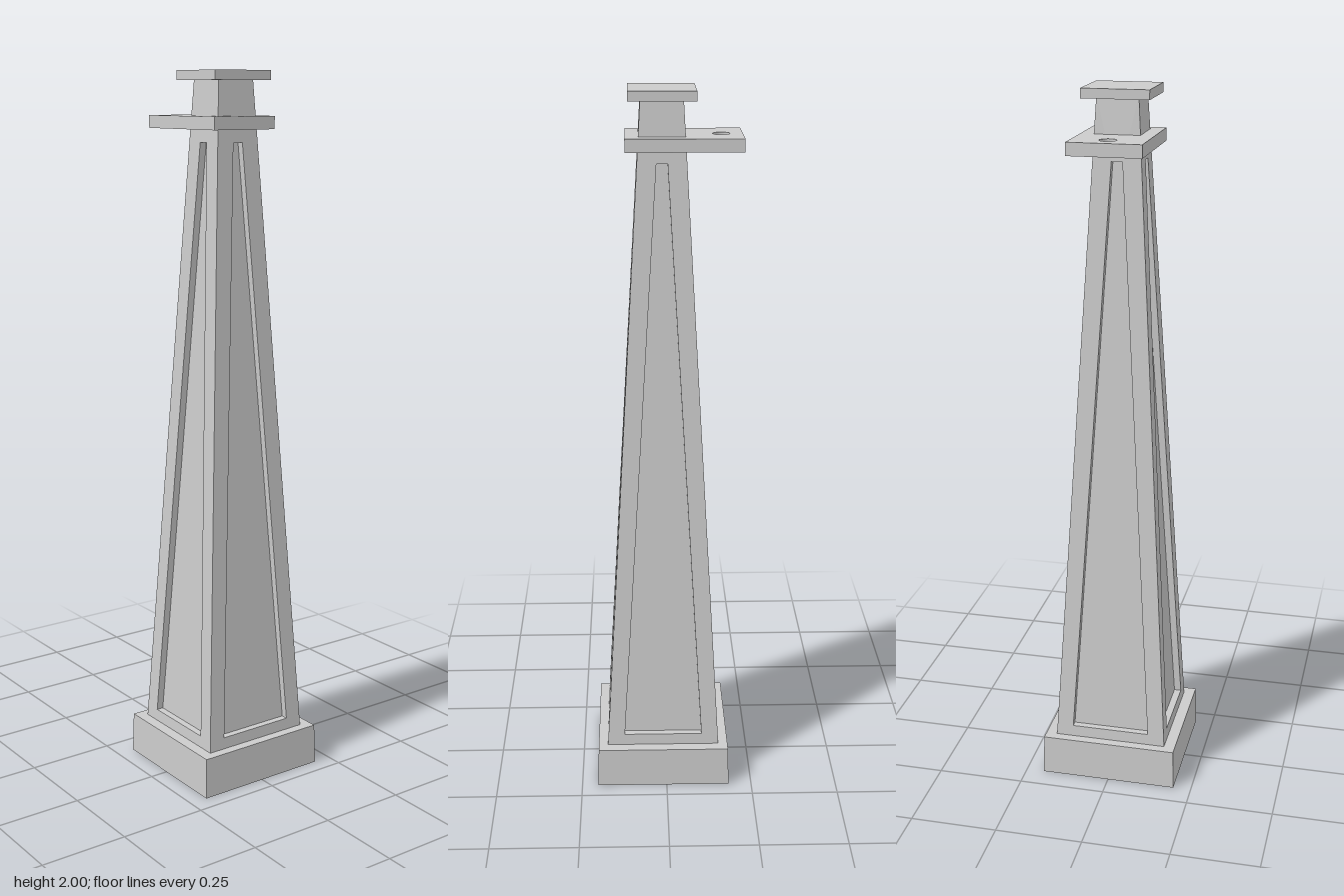
import * as THREE from 'three';

const material = new THREE.MeshStandardMaterial({ color: 0xcccccc, flatShading: true });
const CX = 0.01; // the column stands slightly off centre, balancing the side plate

function addPart(group, name, geometry, x, y, z) {
  const mesh = new THREE.Mesh(geometry, material);
  mesh.name = name;
  mesh.position.set(x, y, z);
  group.add(mesh);
  return mesh;
}

// Tapered square shaft with a sunken panel on each of its four sides
function shaftGeometry() {
  const y0 = 0.11, y1 = 1.98;             // shaft ends
  const p0 = 0.15, p1 = 1.81;             // panel ends
  const depth = 0.02;
  const half = y => 0.163 - 0.106 * (y - 0.117) / 1.858;
  const panelHalf = y => THREE.MathUtils.mapLinear(y, p0, p1, 0.113, 0.015);
  const positions = [];

  for (let side = 0; side < 4; side++) {
    const angle = side * Math.PI / 2;
    const point = (x, y, inset = 0) =>
      new THREE.Vector3(x, y, half(y) - inset).applyAxisAngle(new THREE.Vector3(0, 1, 0), angle);
    const quad = (a, b, c, d) => [a, b, c, a, c, d].forEach(v => positions.push(v.x, v.y, v.z));

    // corners run counter-clockwise seen from outside
    const ring = (w, lo, hi, inset) => [
      point(-w(lo), lo, inset), point(w(lo), lo, inset),
      point(w(hi), hi, inset), point(-w(hi), hi, inset)];
    const outer = ring(half, y0, y1, 0);
    const rim = ring(panelHalf, p0, p1, 0);
    const floor = ring(panelHalf, p0, p1, depth);

    for (let i = 0; i < 4; i++) {
      const j = (i + 1) % 4;
      quad(outer[i], outer[j], rim[j], rim[i]); // raised border
      quad(rim[i], rim[j], floor[j], floor[i]); // panel wall
    }
    quad(...floor);
  }
  const geometry = new THREE.BufferGeometry();
  geometry.setAttribute('position', new THREE.Float32BufferAttribute(positions, 3));
  geometry.computeVertexNormals();
  return geometry;
}

// Plinth with a very slight inward draft
function plinthGeometry() {
  const geometry = new THREE.BoxGeometry(0.386, 0.117, 0.396);
  const p = geometry.attributes.position;
  for (let i = 0; i < p.count; i++) {
    if (p.getY(i) > 0) p.setXYZ(i, p.getX(i) * 0.985, p.getY(i), p.getZ(i) * 0.985);
  }
  geometry.computeVertexNormals();
  return geometry;
}

// Flat plate reaching out to one side, with a round hole near its end
function plateGeometry() {
  const shape = new THREE.Shape([
    new THREE.Vector2(-0.205, -0.1), new THREE.Vector2(0.108, -0.1),
    new THREE.Vector2(0.108, 0.1), new THREE.Vector2(-0.205, 0.1)]);
  const hole = new THREE.Path();
  hole.absarc(-0.148, 0.002, 0.023, 0, Math.PI * 2, true);
  shape.holes.push(hole);
  const geometry = new THREE.ExtrudeGeometry(shape, { depth: 0.035, bevelEnabled: false, curveSegments: 16 });
  geometry.rotateX(-Math.PI / 2);
  return geometry;
}

export function createModel() {
  const group = new THREE.Group();
  group.name = 'taperedPost';
  addPart(group, 'plinth', plinthGeometry(), CX, 0.0585, 0);
  addPart(group, 'panelledShaft', shaftGeometry(), CX, 0, 0);
  addPart(group, 'sidePlate', plateGeometry(), 0, 1.845, 0);
  addPart(group, 'cap', new THREE.BoxGeometry(0.18, 0.026, 0.184), CX, 1.987, 0);
  return group;
}
